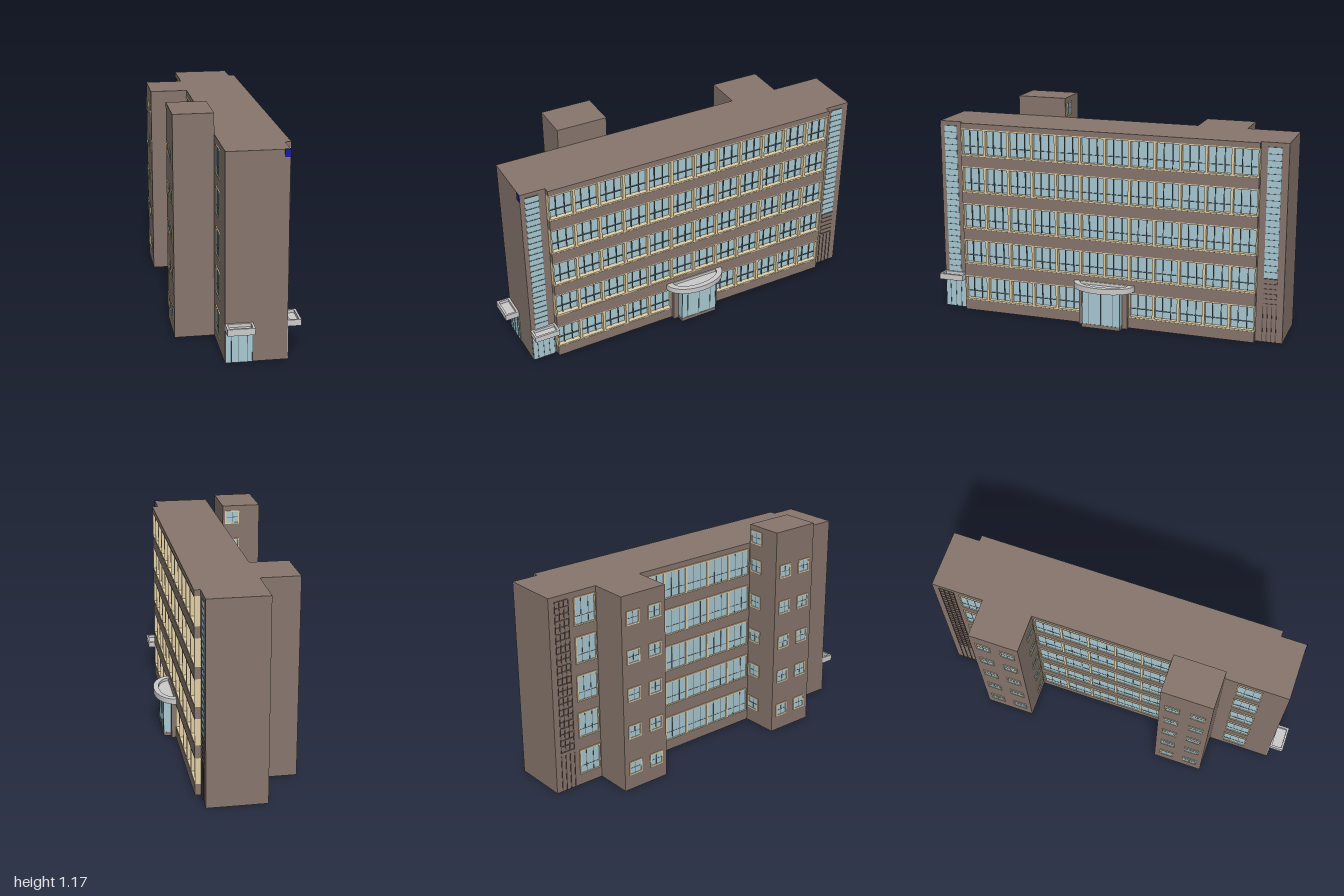
import * as THREE from 'three';

const mat = (color) => new THREE.MeshStandardMaterial({ color });
const brick = mat(0x87766d), dark = mat(0x5c4f49), glass = mat(0xa9c9d3);
const tan = mat(0xe2d0a6), grey = mat(0xcccccc), bar = mat(0x5b6c73), blue = mat(0x1a1aa0);

const H = 1.065;
const FLOORS = [[0.06, 0.2], [0.27, 0.41], [0.473, 0.617], [0.68, 0.825], [0.885, 1.035]];

// Box given by its minimum and maximum on each axis
function box(parent, name, material, x0, x1, y0, y1, z0, z1) {
  const m = new THREE.Mesh(new THREE.BoxGeometry(x1 - x0, y1 - y0, z1 - z0), material);
  m.position.set((x0 + x1) / 2, (y0 + y1) / 2, (z0 + z1) / 2);
  m.name = name;
  parent.add(m);
  return m;
}

// Framed pane in the XY plane facing +z, centred on the origin
function framedWindow(name, w, h, depth, frame, mullions, transoms) {
  const g = new THREE.Group();
  g.name = name;
  const t = 0.007, x = w / 2, y = h / 2;
  box(g, 'pane', glass, -x + t, x - t, -y + t, y - t, 0, depth * 0.2);
  for (const s of [-1, 1]) {
    box(g, 'frameSide', frame, s * (x - t / 2) - t / 2, s * (x - t / 2) + t / 2, -y, y, 0, depth);
    box(g, 'frameRail', frame, -x + t, x - t, s * (y - t / 2) - t / 2, s * (y - t / 2) + t / 2, 0, depth);
  }
  for (const f of mullions) box(g, 'mullion', bar, f * w - 0.0015, f * w + 0.0015, -y + t, y - t, 0, depth * 0.45);
  for (const f of transoms) box(g, 'transom', bar, -x + t, x - t, f * h - 0.0015, f * h + 0.0015, 0, depth * 0.4);
  return g;
}

function place(parent, obj, x, y, z, turn) {
  obj.position.set(x, y, z);
  obj.rotation.y = turn;
  parent.add(obj);
}

// Row of equal framed bays along z on a wall facing +x (side 1) or -x (side -1)
function windowRow(parent, name, x, side, z0, z1, count, [y0, y1], depth) {
  const w = (z1 - z0) / count;
  for (let i = 0; i < count; i++) {
    const win = framedWindow(name, w, y1 - y0, depth, tan, [-0.17, 0.17], [-0.17]);
    place(parent, win, x, (y0 + y1) / 2, z0 + (i + 0.5) * w, side * Math.PI / 2);
  }
}

// Flat slab with a raised rim, from an outline and an inner outline in plan
function tray(parent, name, outer, inner, x, y, z, height) {
  const g = new THREE.Group();
  g.name = name;
  const rimShape = new THREE.Shape(outer);
  rimShape.holes.push(new THREE.Path(inner));
  const parts = [['slab', new THREE.Shape(outer), 0, height / 2], ['rim', rimShape, height / 2, height / 2]];
  for (const [n, shape, base, depth] of parts) {
    const geo = new THREE.ExtrudeGeometry(shape, { depth, bevelEnabled: false });
    geo.rotateX(-Math.PI / 2);
    const m = new THREE.Mesh(geo, grey);
    m.name = n;
    m.position.y = base;
    g.add(m);
  }
  g.position.set(x, y, z);
  parent.add(g);
}

const rect = (w, d) => [[-w, -d], [w, -d], [w, d], [-w, d]].map(([a, b]) => new THREE.Vector2(a / 2, b / 2));

function halfEllipse(a, b, x0) {
  const pts = [];
  for (let i = 0; i <= 24; i++) {
    const t = -Math.PI / 2 + Math.PI * i / 24;
    pts.push(new THREE.Vector2(x0 + a * Math.cos(t), b * Math.sin(t)));
  }
  return pts;
}

// Tall stair glazing on the long front, crossed by rails
function glazedStrip(parent, name, x, z0, z1, y0, y1, rails) {
  const g = new THREE.Group();
  g.name = name;
  box(g, 'pane', glass, x, x + 0.002, y0, y1, z0, z1);
  for (let i = 0; i <= rails; i++) {
    const y = y0 + (y1 - y0) * i / rails;
    box(g, 'rail', bar, x, x + 0.004, y - 0.0015, y + 0.0015, z0, z1);
  }
  parent.add(g);
}

// Upright fins on a wall
function fins(parent, x0, x1, y0, y1, z0, z1, n) {
  for (let i = 0; i < n; i++) {
    const z = z0 + (z1 - z0) * i / (n - 1);
    box(parent, 'fin', dark, x0, x1, y0, y1, z - 0.002, z + 0.002);
  }
}

export function createModel() {
  const root = new THREE.Group();
  root.name = 'officeBuilding';

  // Main block and the two rear stair towers
  box(root, 'mainBlock', brick, -0.12, 0.19, 0, H, -1, 0.925);
  const towers = [[-0.72, -0.45, H, 1], [0.31, 0.585, 1.17, -1]];
  for (const [z0, z1, h, inward] of towers) {
    const g = new THREE.Group();
    g.name = 'stairTower';
    box(g, 'towerWalls', brick, -0.325, -0.12, 0, h, z0, z1);
    if (h > H) box(g, 'towerHead', brick, -0.1205, -0.119, H, h, z0, z1);
    FLOORS.forEach((f, i) => {
      const y = 0.12 + 0.206 * i;
      for (const k of [0.25, 0.75]) {
        const win = framedWindow('towerWindow', 0.08, 0.075, 0.004, tan, [0], [0]);
        place(g, win, -0.325, y, z0 + (z1 - z0) * k, -Math.PI / 2);
      }
      const side = framedWindow('towerSideWindow', 0.08, 0.075, 0.004, tan, [0], [0]);
      place(g, side, -0.172, y, inward > 0 ? z1 : z0, inward > 0 ? 0 : Math.PI);
    });
    if (h > H) {
      place(g, framedWindow('towerTopWindow', 0.08, 0.075, 0.004, tan, [0], [0]), -0.172, 1.105, z0, Math.PI);
    }
    root.add(g);
  }

  // Long front: projecting brick bands between rows of deep windows
  const F = 0.222, Z0 = -0.857, Z1 = 0.79, bay = (Z1 - Z0) / 12;
  const edges = [0, ...FLOORS.flat(), H];
  for (let i = 0; i < edges.length; i += 2) {
    box(root, 'brickBand', brick, 0.19, F, edges[i], edges[i + 1], Z0, Z1);
  }
  FLOORS.forEach((f, i) => {
    if (i > 0) windowRow(root, 'frontWindow', 0.19, 1, Z0, Z1, 12, f, 0.031);
    else {
      windowRow(root, 'frontWindow', 0.19, 1, Z0, Z0 + 5 * bay, 5, f, 0.031);
      windowRow(root, 'frontWindow', 0.19, 1, Z1 - 5 * bay, Z1, 5, f, 0.031);
    }
  });

  // Rear windows: between the towers and beside each of them
  for (const f of FLOORS) {
    windowRow(root, 'rearWindow', -0.12, -1, -0.44, 0.3, 5, f, 0.006);
    windowRow(root, 'rearWindow', -0.12, -1, -0.855, -0.728, 1, f, 0.006);
    windowRow(root, 'rearWindow', -0.12, -1, 0.655, 0.79, 1, f, 0.006);
  }

  // Main entrance: glazed bay, brick piers and half-oval canopy
  const zc = -0.033;
  const entrance = new THREE.Group();
  entrance.name = 'mainEntrance';
  box(entrance, 'step', brick, 0.19, 0.285, 0, 0.02, zc - 0.108, zc + 0.108);
  box(entrance, 'glazedBay', glass, 0.19, 0.283, 0.02, 0.212, zc - 0.107, zc + 0.107);
  for (const s of [-1, 1]) {
    const z = zc + s * 0.122;
    box(entrance, 'pier', brick, 0.19, 0.245, 0, 0.212, z - 0.0145, z + 0.0145);
  }
  for (const k of [-0.105, -0.07, 0, 0.07, 0.105]) {
    box(entrance, 'doorMullion', bar, 0.28, 0.285, 0.02, 0.21, zc + k - 0.0015, zc + k + 0.0015);
  }
  tray(entrance, 'entranceCanopy', halfEllipse(0.103, 0.17, 0), halfEllipse(0.07, 0.135, 0.005), F, 0.21, zc, 0.031);
  root.add(entrance);

  // Glazed stair strips at both ends of the long front
  glazedStrip(root, 'stairGlazing', 0.19, 0.828, 0.9, 0.205, 1.04, 24);
  glazedStrip(root, 'stairGlazing', 0.19, -0.963, -0.892, 0.35, 1.04, 20);
  box(root, 'louvrePanel', brick, 0.19, 0.192, 0.21, 0.35, -0.963, -0.892);
  for (let i = 0; i <= 5; i++) {
    const y = 0.212 + i * 0.027;
    box(root, 'louvre', dark, 0.19, 0.195, y - 0.001, y + 0.001, -0.963, -0.892);
  }
  fins(root, 0.19, 0.194, 0, 0.2, -0.963, -0.892, 4);

  // Rear lattice strip with fins below
  for (let i = 0; i <= 24; i++) {
    const y = 0.22 + i * 0.034;
    box(root, 'latticeRail', dark, -0.122, -0.12, y - 0.003, y + 0.003, -0.965, -0.885);
  }
  fins(root, -0.123, -0.12, 0.22, 1.036, -0.965, -0.885, 4);
  fins(root, -0.123, -0.12, 0, 0.2, -0.965, -0.885, 4);

  // End door and corner shopfront with their canopies
  box(root, 'endDoorGlass', glass, -0.12, 0.018, 0, 0.167, 0.924, 0.928);
  for (const x of [-0.118, -0.088, -0.053, -0.01, 0.016]) {
    box(root, 'doorMullion', bar, x - 0.0015, x + 0.0015, 0, 0.167, 0.924, 0.93);
  }
  tray(root, 'endCanopy', rect(0.137, 0.075), rect(0.115, 0.053), -0.0515, 0.172, 0.9625, 0.034);
  box(root, 'cornerGlass', glass, 0.189, 0.193, 0, 0.172, 0.798, 0.924);
  for (const z of [0.8, 0.83, 0.862, 0.895, 0.922]) {
    box(root, 'doorMullion', bar, 0.189, 0.195, 0, 0.172, z - 0.0015, z + 0.0015);
  }
  tray(root, 'cornerCanopy', rect(0.068, 0.138), rect(0.046, 0.116), 0.224, 0.174, 0.859, 0.032);

  // Plain number plate at the top corner
  box(root, 'cornerPlate', blue, 0.162, 0.193, 1.028, 1.067, 0.924, 0.929);

  return root;
}
